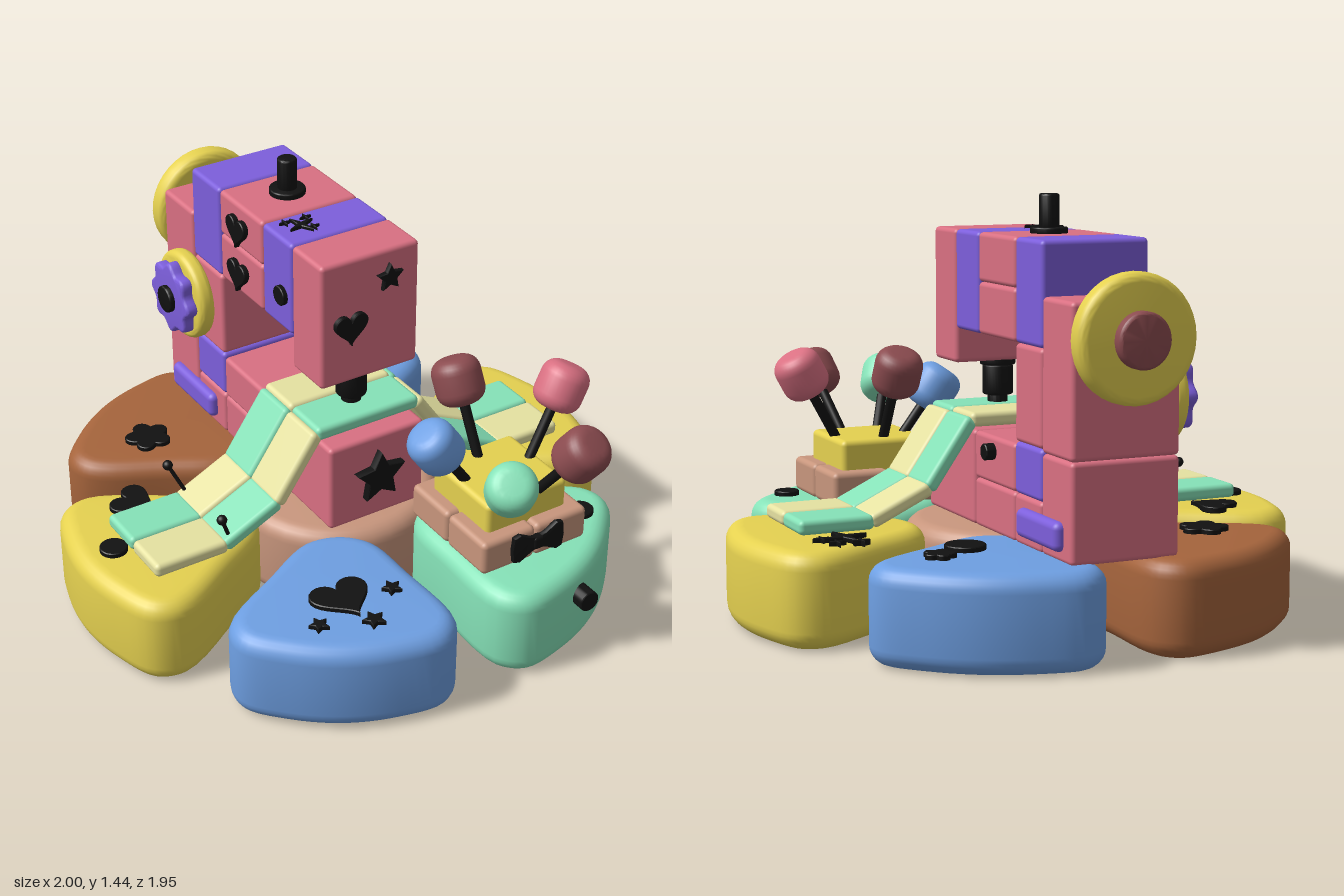
import * as THREE from 'three';
import { RoundedBoxGeometry } from 'three/addons/geometries/RoundedBoxGeometry.js';
import { toCreasedNormals } from 'three/addons/utils/BufferGeometryUtils.js';

const COLORS = {
  yellow: 0xe5d150, pink: 0xd97082, purple: 0x7d5fdc, brown: 0xa5643c, tan: 0xc8967d, blue: 0x6e9fe2,
  green: 0x86e2b8, pale: 0xe6e2a2, red: 0x8c4c50, black: 0x111111,
};
const mats = {};
for (const k in COLORS) mats[k] = new THREE.MeshStandardMaterial({ color: COLORS[k] });
const V = (x, y, z) => new THREE.Vector3(x, y, z);
const UP = V(0, 1, 0);

export function createModel() {
  const root = new THREE.Group();

  function add(name, geo, color, x = 0, y = 0, z = 0) {
    const m = new THREE.Mesh(geo, mats[color]);
    m.name = name;
    m.position.set(x, y, z);
    root.add(m);
    return m;
  }

  // Rounded block given by its limits
  function block(name, color, x0, x1, y0, y1, z0, z1, r = 0.016) {
    const g = new RoundedBoxGeometry(x1 - x0, y1 - y0, z1 - z0, 3, r);
    return add(name, g, color, (x0 + x1) / 2, (y0 + y1) / 2, (z0 + z1) / 2);
  }

  // Round disc along y, from 0 to h, with rounded rims
  function puck(r, h, b) {
    const pts = [new THREE.Vector2(0, 0)];
    for (let i = 0; i <= 6; i++) {
      const a = (i / 6) * Math.PI / 2;
      pts.push(new THREE.Vector2(r - b + b * Math.sin(a), b - b * Math.cos(a)));
    }
    for (let i = 0; i <= 6; i++) {
      const a = (i / 6) * Math.PI / 2;
      pts.push(new THREE.Vector2(r - b + b * Math.cos(a), h - b + b * Math.sin(a)));
    }
    pts.push(new THREE.Vector2(0, h));
    return toCreasedNormals(new THREE.LatheGeometry(pts, 36), 0.6);
  }

  // Straight rod between two points
  function rod(name, color, a, b, r) {
    const d = b.clone().sub(a);
    const m = add(name, new THREE.CylinderGeometry(r, r, d.length(), 12), color);
    m.position.copy(a).addScaledVector(d, 0.5);
    m.quaternion.setFromUnitVectors(UP, d.normalize());
    return m;
  }

  const extrude = (pts, depth, b, seg) => toCreasedNormals(new THREE.ExtrudeGeometry(new THREE.Shape(pts), {
    depth: depth - 2 * b, bevelSize: b, bevelThickness: b, bevelOffset: -b, bevelSegments: seg, steps: 1,
  }).translate(0, 0, b), 0.7);

  // Outline defined by radius as a function of angle
  const polar = (n, f) => Array.from({ length: n }, (_, i) => {
    const a = Math.PI / 2 + (i / n) * Math.PI * 2;
    return new THREE.Vector2(Math.cos(a) * f(i, a), Math.sin(a) * f(i, a));
  });
  const outlines = {
    star: r => polar(10, i => (i % 2 ? r * 0.5 : r)),
    sparkle: r => polar(8, i => (i % 2 ? r * 0.28 : r)),
    flower: r => polar(60, (i, a) => r * (0.7 + 0.3 * Math.abs(Math.cos(2.5 * (a - Math.PI / 2))))),
    dot: r => polar(28, () => r),
    heart: r => Array.from({ length: 40 }, (_, i) => {
      const t = -(i / 40) * Math.PI * 2;
      return new THREE.Vector2(16 * Math.sin(t) ** 3,
        13 * Math.cos(t) - 5 * Math.cos(2 * t) - 2 * Math.cos(3 * t) - Math.cos(4 * t)).multiplyScalar(r / 16);
    }),
  };

  // Raised black ornament; side is the way it faces, turn is the spin in its plane
  function ornament(kind, r, side, x, y, z, turn = 0, depth = 0.022) {
    const g = extrude(outlines[kind](r), depth, 0.003, 1);
    g.rotateZ(turn);
    if (side === 'top') g.rotateX(-Math.PI / 2);
    if (side === 'left') g.rotateY(Math.PI / 2);
    if (side === 'right') g.rotateY(-Math.PI / 2);
    return add(kind + 'Ornament', g, 'black', x, y, z);
  }

  // Flower-shaped base: six petals around a hub
  const half = [[0.8, 0.37], [0.91, 0.335], [0.975, 0.18]];
  const outline = [[0.34, 0], [0.38, 0.12], [0.55, 0.235], ...half, [1, 0]];
  const loop = [...outline, ...outline.slice(1, -1).reverse().map(([x, y]) => [x, -y])];
  const petalPts = new THREE.CatmullRomCurve3(loop.map(([x, y]) => V(x, y, 0)), true, 'centripetal')
    .getPoints(60).slice(0, -1).map(p => new THREE.Vector2(p.x, p.y));
  const petalGeo = extrude(petalPts, 0.32, 0.06, 6).rotateX(-Math.PI / 2);
  ['yellow', 'blue', 'brown', 'yellow', 'blue', 'green'].forEach((c, i) => {
    add('petal', petalGeo, c).rotation.y = i * Math.PI / 3;
  });
  add('hub', puck(0.37, 0.31, 0.06), 'tan', 0, 0.005, 0);

  // Petal ornaments
  const topY = 0.315;
  [['heart', 0.085, -0.69, -0.22, 0.6], ['dot', 0.048, -0.87, -0.01], ['flower', 0.085, -0.455, -0.55],
    ['dot', 0.068, 0.385, -0.485], ['flower', 0.055, 0.51, -0.57], ['sparkle', 0.085, 0.69, -0.2, 0.2],
    ['sparkle', 0.03, 0.66, -0.28], ['sparkle', 0.03, 0.74, -0.27], ['sparkle', 0.03, 0.77, -0.2],
    ['heart', 0.105, -0.36, 0.625], ['star', 0.036, -0.5, 0.71], ['star', 0.042, -0.335, 0.78],
    ['star', 0.036, -0.195, 0.67], ['dot', 0.045, 0.6, 0.65],
  ].forEach(([k, r, x, z, t]) => ornament(k, r, 'top', x, topY, z, t));
  ornament('dot', 0.037, 'front', 0.4, 0.22, 0.9, 0, 0.07);

  // Sewing machine body: color, y range, z range
  const w = 0.19;
  [['base', 'pink', 0.315, 0.64, -0.12, 0.28], ['baseLower', 'pink', 0.315, 0.48, -0.44, -0.12],
    ['baseUpper', 'pink', 0.48, 0.64, -0.44, -0.12], ['columnFoot', 'pink', 0.315, 0.48, -0.64, -0.44],
    ['columnBand', 'purple', 0.48, 0.65, -0.64, -0.44], ['column', 'pink', 0.65, 0.97, -0.64, -0.44],
    ['rearLower', 'pink', 0.315, 0.64, -0.855, -0.64], ['rearUpper', 'pink', 0.64, 1.135, -0.855, -0.64],
    ['armRearBand', 'purple', 0.97, 1.31, -0.64, -0.44], ['armLower', 'pink', 0.97, 1.145, -0.44, -0.15],
    ['armUpper', 'pink', 1.145, 1.31, -0.44, -0.15], ['armFrontBand', 'purple', 0.97, 1.31, -0.15, 0.04],
    ['head', 'pink', 0.85, 1.31, 0.04, 0.225],
  ].forEach(([n, c, y0, y1, z0, z1]) => block(n, c, -w, w, y0, y1, z0, z1));
  for (const s of [-1, 1]) block('sideBar', 'purple', s * 0.195 - 0.025, s * 0.195 + 0.025, 0.35, 0.445, -0.8, -0.5, 0.024);

  // Machine ornaments
  ornament('star', 0.052, 'front', 0.07, 1.21, 0.22);
  ornament('heart', 0.064, 'front', -0.08, 1.065, 0.22);
  ornament('star', 0.1, 'front', 0, 0.485, 0.275, 0, 0.035);
  ornament('heart', 0.062, 'right', -0.19, 1.22, -0.3);
  ornament('heart', 0.062, 'right', -0.19, 1.05, -0.3);
  ornament('dot', 0.035, 'right', -0.185, 1.1, -0.02);
  ornament('dot', 0.028, 'left', 0.185, 0.59, -0.27, 0, 0.04);
  ornament('sparkle', 0.055, 'top', -0.09, 1.3, -0.06, 0.3);
  for (const [x, z] of [[-0.13, -0.1], [-0.05, -0.1], [-0.06, -0.03]]) ornament('sparkle', 0.022, 'top', x, 1.3, z);

  // Hand wheel at the back
  add('handWheel', puck(0.207, 0.085, 0.03), 'yellow', 0, 1.02, -0.855).rotation.x = -Math.PI / 2;
  add('handWheelKnob', puck(0.09, 0.06, 0.012), 'red', 0, 1.02, -0.92).rotation.x = -Math.PI / 2;

  // Stitch dial on the right side
  add('dialDisc', puck(0.165, 0.065, 0.025), 'yellow', -0.185, 0.81, -0.655).rotation.z = Math.PI / 2;
  const knob = polar(64, (i, a) => 0.127 + 0.012 * Math.cos(8 * a));
  add('dialKnob', extrude(knob, 0.05, 0.012, 3).rotateY(-Math.PI / 2), 'purple', -0.242, 0.81, -0.655);
  add('dialCentre', puck(0.05, 0.03, 0.006), 'black', -0.282, 0.81, -0.655).rotation.z = Math.PI / 2;

  // Spool holder and needle assembly
  add('spoolFlange', puck(0.063, 0.025, 0.005), 'black', 0, 1.305, -0.3);
  add('spoolPin', puck(0.034, 0.12, 0.008), 'black', 0, 1.32, -0.3);
  add('needleFlange', puck(0.062, 0.025, 0.005), 'black', 0, 0.83, 0.11);
  add('needleNeck', puck(0.036, 0.13, 0.005), 'black', 0, 0.72, 0.11);
  add('needleClamp', puck(0.054, 0.105, 0.008), 'black', 0, 0.725, 0.11);
  add('presserFoot', puck(0.035, 0.07, 0.005), 'black', 0, 0.67, 0.11);

  // Patchwork cloth draped over the base, two rows of patches
  const path = [[-0.825, 0.355], [-0.56, 0.355], [-0.355, 0.452], [-0.2, 0.675],
    [0.2, 0.675], [0.355, 0.452], [0.56, 0.355], [0.815, 0.355]];
  for (let i = 0; i < 7; i++) {
    const [ax, ay] = path[i], [bx, by] = path[i + 1];
    const len = Math.hypot(bx - ax, by - ay) + 0.01;
    [-0.042, 0.137].forEach((z, row) => {
      const g = new RoundedBoxGeometry(len, 0.05, 0.178, 3, 0.018);
      const c = (i + row) % 2 ? 'pale' : 'green';
      add('clothPatch', g, c, (ax + bx) / 2, (ay + by) / 2, z).rotation.z = Math.atan2(by - ay, bx - ax);
    });
  }
  for (const [z0, z1] of [[-0.1, -0.15], [0.19, 0.23]]) {
    rod('clothPin', 'black', V(-0.535, 0.37, z0), V(-0.582, 0.48, z1), 0.007);
    add('clothPinHead', new THREE.SphereGeometry(0.018, 16, 12), 'black', -0.582, 0.48, z1);
  }

  // Pin cushion on the front left petal
  const cx = 0.315, cz = 0.555;
  for (const sx of [-1, 1]) for (const sz of [-1, 1]) {
    const x = cx + sx * 0.107, z = cz + sz * 0.107;
    block('cushionBox', 'tan', x - 0.107, x + 0.107, 0.315, 0.44, z - 0.107, z + 0.107, 0.02);
  }
  block('cushion', 'yellow', 0.152, 0.478, 0.4, 0.545, 0.39, 0.715, 0.02);

  // Bow on the box front
  const bow = [[0, 0.022], [0.03, 0.03], [0.075, 0.055], [0.1, 0.048], [0.106, 0], [0.1, -0.048], [0.075, -0.055], [0.03, -0.03], [0, -0.022]];
  const bowPts = [...bow.map(p => new THREE.Vector2(...p)).reverse(), ...bow.slice(1, -1).map(([x, y]) => new THREE.Vector2(-x, y))];
  add('bow', extrude(bowPts, 0.022, 0.005, 2), 'black', cx, 0.385, 0.765);
  add('bowKnot', new RoundedBoxGeometry(0.045, 0.05, 0.035, 3, 0.012), 'black', cx, 0.385, 0.775);

  // Large round-headed pins: color, head centre
  const headGeo = puck(0.086, 0.165, 0.05).translate(0, -0.0825, 0);
  [['red', 0.29, 0.79, 0.33], ['blue', 0.075, 0.7, 0.515], ['pink', 0.58, 0.775, 0.525],
    ['green', 0.14, 0.7, 0.845], ['red', 0.42, 0.735, 0.845],
  ].forEach(([c, x, y, z]) => {
    const top = V(x, y, z);
    const foot = V(cx + (x - cx) * 0.42, 0.5, cz + (z - cz) * 0.42);
    const m = rod('pinStem', 'black', foot, top, 0.018);
    add('pinHead', headGeo, c, x, y, z).quaternion.copy(m.quaternion);
  });

  return root;
}
